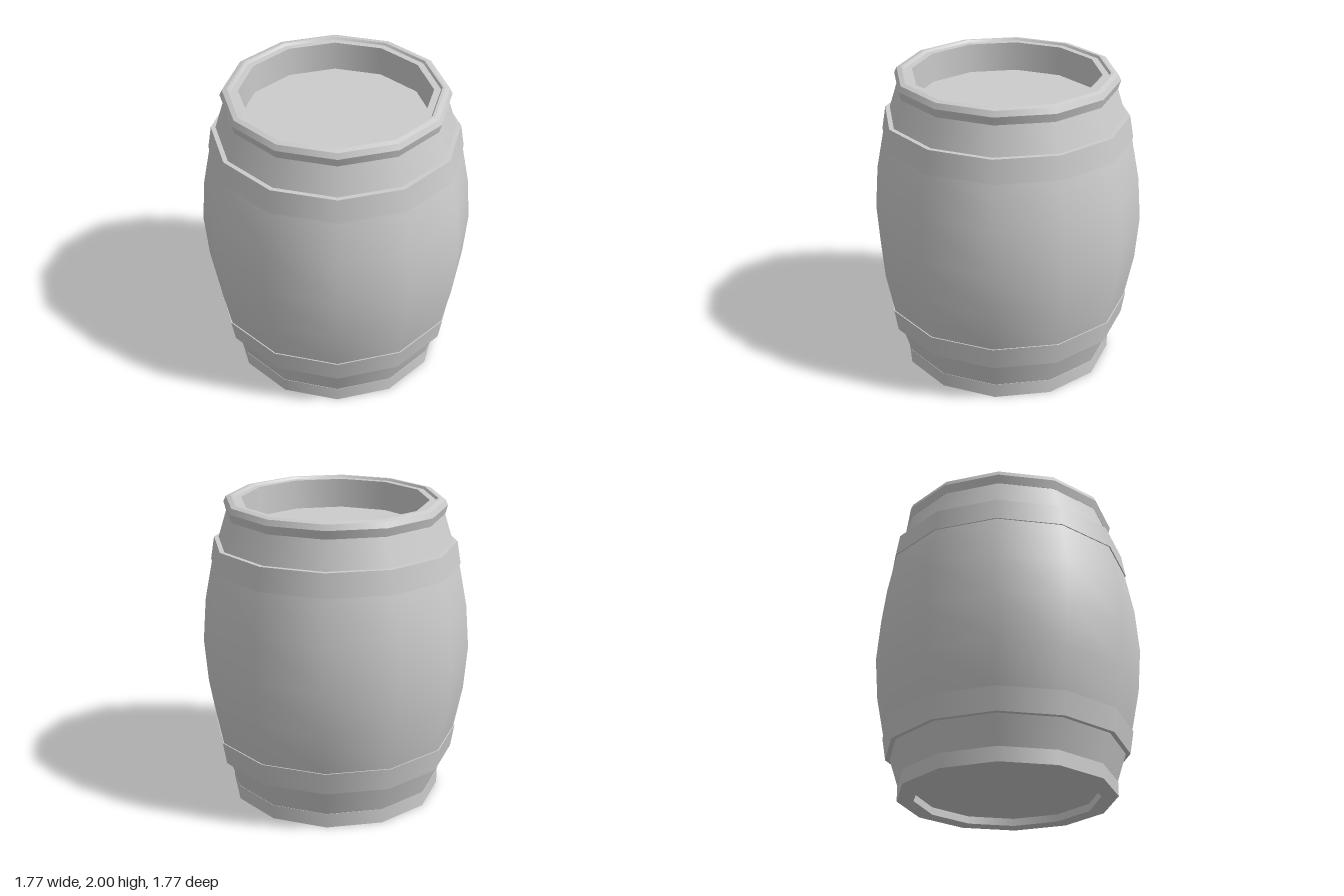
import * as THREE from 'three';
import { mergeGeometries } from 'three/addons/utils/BufferGeometryUtils.js';

const SIDES = 12;
const material = new THREE.MeshStandardMaterial({ color: 0xcccccc });

// Turns one smooth run of [radius, height] points around the y axis
const turn = (run) =>
  new THREE.LatheGeometry(run.map(([r, y]) => new THREE.Vector2(r, y)), SIDES);

// Smooth run: normals blend along the whole profile
function smoothPart(name, profile) {
  const mesh = new THREE.Mesh(turn(profile), material);
  mesh.name = name;
  return mesh;
}

// Creased run: every profile segment is turned separately, keeping its edges sharp
function creasedPart(name, profile) {
  const strips = profile.slice(1).map((p, i) => turn([profile[i], p]));
  const mesh = new THREE.Mesh(mergeGeometries(strips), material);
  mesh.name = name;
  return mesh;
}

export function createModel() {
  const barrel = new THREE.Group();
  barrel.name = 'barrel';

  // Bulging wooden wall
  barrel.add(smoothPart('staves', [
    [0.70, 0.09], [0.76, 0.28], [0.807, 0.43], [0.862, 0.71], [0.885, 1.0],
    [0.862, 1.29], [0.807, 1.57], [0.76, 1.72], [0.704, 1.9],
  ]));

  // Foot ring with the recessed underside
  barrel.add(creasedPart('foot', [
    [0, 0.05], [0.595, 0.05], [0.595, 0], [0.704, 0], [0.704, 0.095], [0.695, 0.095],
  ]));

  // Hoops, tapering towards the ends of the barrel
  barrel.add(creasedPart('lowerHoop', [
    [0.75, 0.28], [0.79, 0.28], [0.815, 0.43], [0.80, 0.43],
  ]));
  barrel.add(creasedPart('upperHoop', [
    [0.80, 1.57], [0.815, 1.57], [0.79, 1.72], [0.75, 1.72],
  ]));

  // Bevelled rim, stepping down on the inside to the sunken lid
  barrel.add(creasedPart('rim', [
    [0.70, 1.9], [0.706, 1.9], [0.721, 1.955], [0.705, 1.99], [0.675, 2.0],
    [0.658, 2.0], [0.648, 1.985], [0.605, 1.985], [0.605, 1.79],
  ]));
  barrel.add(creasedPart('lid', [[0.605, 1.79], [0, 1.79]]));

  return barrel;
}
